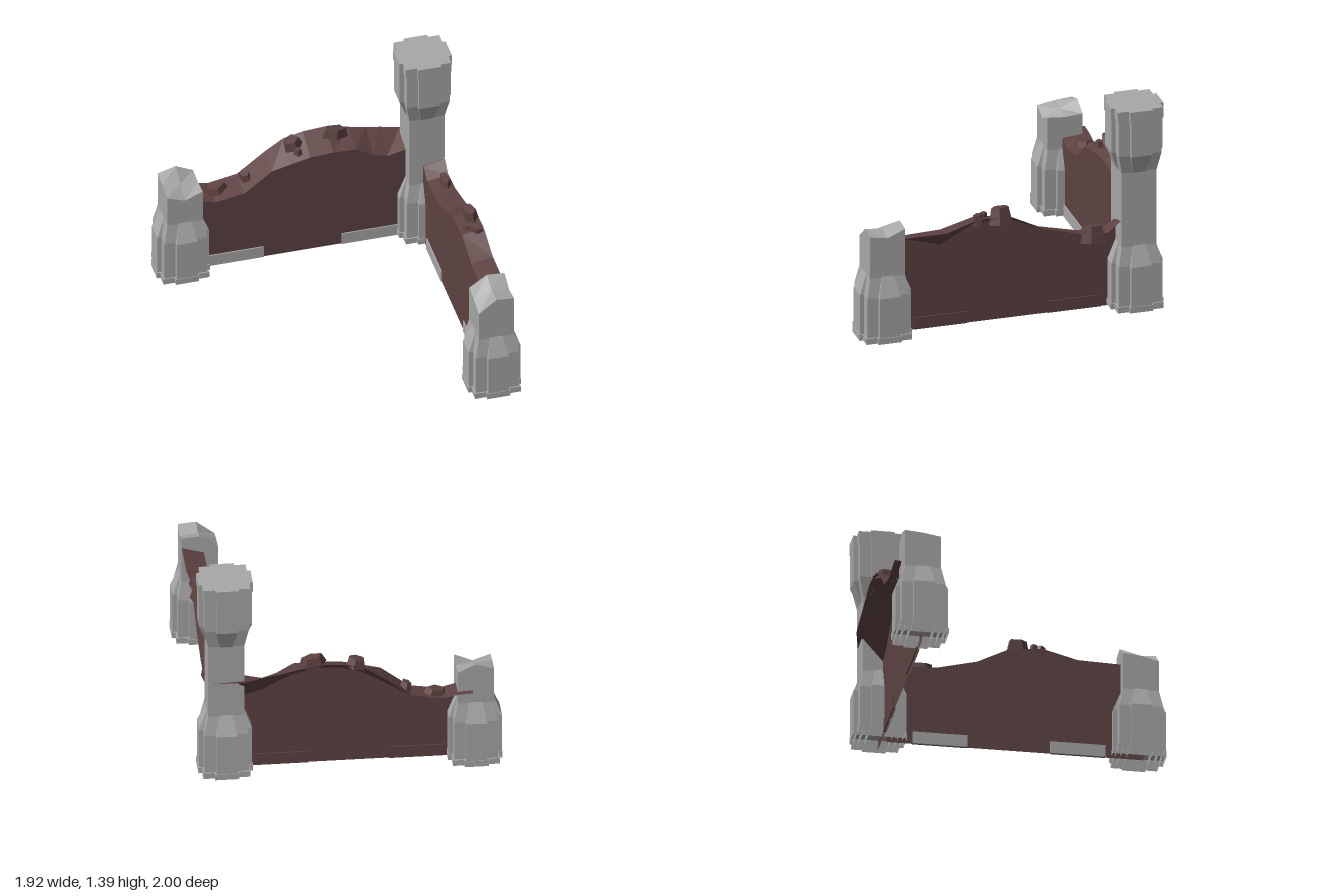
import * as THREE from 'three';

const stone = new THREE.MeshStandardMaterial({ color: 0xa8a8a8, side: THREE.DoubleSide });
const earth = new THREE.MeshStandardMaterial({ color: 0x5e4242, side: THREE.DoubleSide });
stone.name = 'grey stone';
earth.name = 'brown brick';

function flat(geo) {
  const g = geo.index ? geo.toNonIndexed() : geo;
  g.computeVertexNormals();
  return g;
}

function add(parent, name, geo, mat) {
  const m = new THREE.Mesh(flat(geo), mat);
  m.name = name;
  parent.add(m);
  return m;
}

// drops the underside of a box, leaving it hollow
function openBottom(g) {
  const under = g.groups[3];
  const index = Array.from(g.index.array);
  index.splice(under.start, under.count);
  g.setIndex(index);
  g.clearGroups();
  return g;
}

// box from y0 to y1 whose half sizes change from bottom to top
function taper(y0, y1, [bx, bz], [tx, tz] = [bx, bz]) {
  const g = new THREE.BoxGeometry(2, 1, 2);
  const p = g.attributes.position;
  for (let i = 0; i < p.count; i++) {
    const up = p.getY(i) > 0;
    p.setXYZ(i, p.getX(i) * (up ? tx : bx), up ? y1 : y0, p.getZ(i) * (up ? tz : bz));
  }
  return openBottom(g);
}

// square block with a crossing pair of buttress bars
function ring(parent, name, y0, y1, a, b = a) {
  add(parent, name + 'Corners', taper(y0, y1, [a[0], a[0]], [b[0], b[0]]), stone);
  add(parent, name + 'BarX', taper(y0, y1, [a[1], a[2]], [b[1], b[2]]), stone);
  add(parent, name + 'BarZ', taper(y0, y1, [a[2], a[1]], [b[2], b[1]]), stone);
}

// each ring size: corner half width, bar reach, bar half width
const CORE = 0.115;
const plinth = [0.149, 0.172, 0.076];
const shaft = [0.14, 0.168, 0.068];
const neck = [CORE - 0.001, CORE + 0.001, 0.04];

// tops: 3x3 heights, rows from back to front
function tower(name, x, z, tops) {
  const t = new THREE.Group();
  t.name = name;
  t.position.set(x, 0, z);
  const g = new THREE.BoxGeometry(CORE * 2, 1, CORE * 2, 2, 1, 2);
  const p = g.attributes.position;
  for (let i = 0; i < p.count; i++) {
    const col = Math.round(p.getX(i) / CORE) + 1, row = Math.round(p.getZ(i) / CORE) + 1;
    p.setY(i, p.getY(i) > 0 ? tops[row][col] : 0.02);
  }
  add(t, 'core', openBottom(g), stone);
  ring(t, 'plinth', 0.02, 0.06, plinth);
  ring(t, 'buttress', 0.06, 0.33, shaft);
  ring(t, 'buttressSlope', 0.33, 0.46, shaft, neck);
  return t;
}

// thin ruined wall with an overhanging crest
// stations: [s, inner top, ridge, underside edge, reach of ridge]
function wall(name, stations, inner, outer, place) {
  const rings = stations.map(([s, yi, yr, yl, ridge]) =>
    [[inner, 0.01], [inner, yi], [ridge, yr], [outer, yl], [outer, 0.01]].map(([t, y]) => place(s, y, t)));
  const v = [];
  const tri = (...pts) => pts.forEach((q) => v.push(...q));
  for (let i = 0; i + 1 < rings.length; i++) {
    for (let j = 0; j < 4; j++) {
      const a = rings[i], b = rings[i + 1];
      tri(a[j], b[j], b[j + 1]);
      tri(a[j], b[j + 1], a[j + 1]);
    }
  }
  const g = new THREE.BufferGeometry();
  g.setAttribute('position', new THREE.Float32BufferAttribute(v, 3));
  const m = new THREE.Mesh(flat(g), earth);
  m.name = name;
  return m;
}

export function createModel() {
  const model = new THREE.Group();
  model.name = 'ruinedFort';

  // tall corner tower with a flared head
  const tall = tower('tallTower', 0.787, -0.828, Array(3).fill([1.39, 1.39, 1.39]));
  ring(tall, 'headFlare', 0.96, 1.09, neck, shaft);
  ring(tall, 'head', 1.09, 1.33, shaft);
  ring(tall, 'cap', 1.33, 1.4, plinth);
  model.add(tall);

  // broken towers
  model.add(tower('backBrokenTower', -0.792, -0.828,
    [[0.7, 0.735, 0.68], [0.69, 0.68, 0.67], [0.67, 0.63, 0.68]]));
  model.add(tower('frontBrokenTower', 0.787, 0.828,
    [[0.70, 0.78, 0.77], [0.69, 0.74, 0.72], [0.66, 0.75, 0.74]]));

  // walls
  model.add(wall('backWall', [
    [-0.77, 0.54, 0.55, 0.53, -0.985],
    [-0.68, 0.53, 0.545, 0.48, -0.985],
    [-0.57, 0.5, 0.525, 0.44, -0.985],
    [-0.38, 0.53, 0.56, 0.47, -0.985],
    [-0.2, 0.67, 0.7, 0.58, -0.985],
    [-0.08, 0.7, 0.78, 0.65, -0.985],
    [0.05, 0.73, 0.81, 0.69, -0.985],
    [0.2, 0.74, 0.82, 0.7, -0.985],
    [0.35, 0.735, 0.785, 0.66, -0.985],
    [0.46, 0.67, 0.76, 0.61, -0.985],
    [0.55, 0.64, 0.745, 0.56, -0.985],
    [0.68, 0.67, 0.715, 0.52, -0.985],
    [0.89, 0.67, 0.69, 0.66, -0.94],
  ], -0.81, -0.817, (s, y, t) => [s, y, t]));
  model.add(wall('sideWall', [
    [-0.78, 0.62, 0.68, 0.6, 0.9],
    [-0.7, 0.59, 0.63, 0.55, 0.9],
    [-0.62, 0.54, 0.565, 0.49, 0.9],
    [-0.45, 0.55, 0.58, 0.53, 0.9],
    [-0.2, 0.61, 0.65, 0.61, 0.9],
    [0, 0.71, 0.75, 0.69, 0.9],
    [0.22, 0.73, 0.77, 0.69, 0.9],
    [0.44, 0.67, 0.7, 0.57, 0.9],
    [0.72, 0.66, 0.7, 0.65, 0.9],
    [0.86, 0.66, 0.69, 0.65, 0.89],
  ], 0.76, 0.767, (s, y, t) => [t, y, s]));

  // loose rubble: position, size, turn, tilt
  const rubble = [
    [-0.54, 0.535, -0.91, 0.16, 0.05, 0.11, 0.2, 0.2],
    [-0.35, 0.595, -0.91, 0.07, 0.05, 0.1, 0.5, 0.3],
    [-0.04, 0.785, -0.92, 0.13, 0.06, 0.12, 0.3, 0.25],
    [-0.02, 0.765, -0.85, 0.06, 0.04, 0.06, 1.1, 0],
    [0.24, 0.815, -0.92, 0.18, 0.06, 0.1, 0.1, -0.15],
    [0.86, 0.555, -0.54, 0.08, 0.11, 0.17, 0, 0.1],
    [0.855, 0.76, 0.07, 0.1, 0.11, 0.16, 0.1, 0.15],
    [0.805, 0.745, 0.17, 0.05, 0.05, 0.07, 0.6, 0],
    [0.86, 0.75, 0.22, 0.07, 0.07, 0.1, 0.9, 0.15],
  ];
  for (const [x, y, z, w, h, d, turn, tilt] of rubble) {
    const rock = add(model, 'rubble', new THREE.CylinderGeometry(0.38, 0.52, 1, 5), earth);
    rock.scale.set(w, h, d);
    rock.rotation.set(0, turn, tilt);
    rock.position.set(x, y, z);
  }

  // foundation stones: grey on the inner faces, brown on the outer
  for (const c of [-0.44, 0.44]) {
    for (const [mat, z, x] of [[stone, -0.806, 0.756], [earth, -0.82, 0.77]]) {
      add(model, 'backFoundation', new THREE.BoxGeometry(0.37, 0.08, 0.008), mat)
        .position.set(c, 0.05, z);
      add(model, 'sideFoundation', new THREE.BoxGeometry(0.008, 0.08, 0.35), mat)
        .position.set(x, 0.05, c);
    }
  }
  return model;
}
